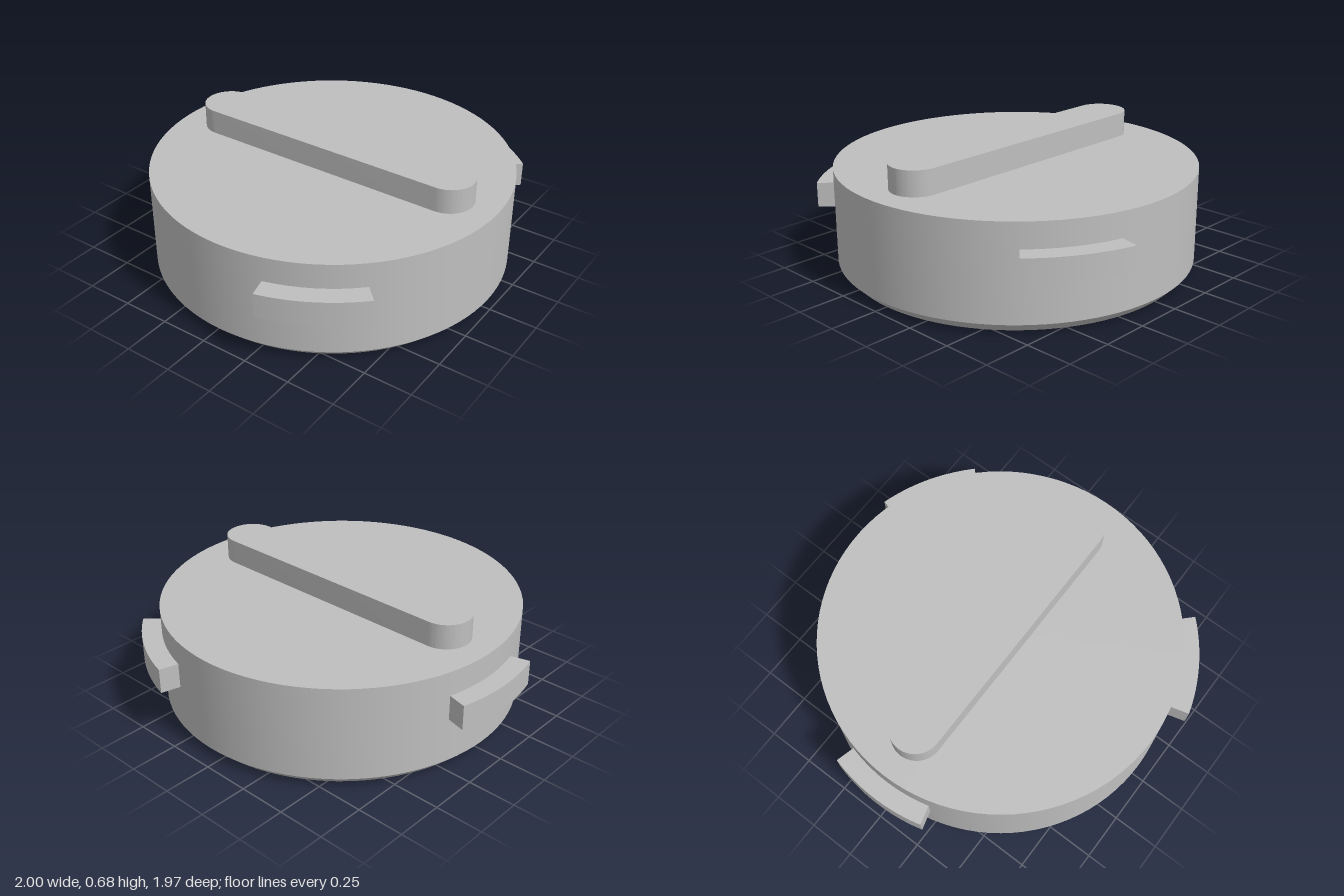
import * as THREE from 'three';
import { toCreasedNormals } from 'three/addons/utils/BufferGeometryUtils.js';

const CREASE = Math.PI / 6;
const CENTER_Z = 0.0475;
const BODY_R = 0.933;
const BODY_TOP = 0.545;

export function createModel() {
  const model = new THREE.Group();
  model.name = 'bayonetCap';
  const grey = new THREE.MeshStandardMaterial({ color: 0xbfbfbf });
  grey.name = 'plainGrey';

  const add = (name, geometry) => {
    const mesh = new THREE.Mesh(toCreasedNormals(geometry, CREASE), grey);
    mesh.name = name;
    mesh.position.z = CENTER_Z;
    model.add(mesh);
    return mesh;
  };

  // Extrudes a plan shape upwards from y = bottom
  const slab = (shape, bottom, height) =>
    new THREE.ExtrudeGeometry(shape, { depth: height, bevelEnabled: false, curveSegments: 24 })
      .rotateX(-Math.PI / 2)
      .translate(0, bottom, 0);

  // Round body with chamfered foot and a recess underneath
  const profile = [
    [0, 0.187], [0.645, 0.187], [0.645, 0], [0.883, 0],
    [BODY_R, 0.05], [BODY_R, BODY_TOP], [0, BODY_TOP],
  ].map(([r, y]) => new THREE.Vector2(r, y));
  add('body', new THREE.LatheGeometry(profile, 96));

  // Round-ended grip bar across the top
  const gripR = 0.132;
  const gripHalf = 0.807 - gripR;
  const grip = new THREE.Shape();
  grip.absarc(0, gripHalf, gripR, 0, Math.PI, false);
  grip.absarc(0, -gripHalf, gripR, Math.PI, Math.PI * 2, false);
  grip.closePath();
  add('gripBar', slab(grip, BODY_TOP, 0.13));

  // Three curved locking tabs, 30 degrees wide each
  const half = Math.PI / 12;
  ['backTab', 'rightTab', 'leftTab'].forEach((name, i) => {
    const mid = Math.PI / 2 + (i * Math.PI * 2) / 3;
    const tab = new THREE.Shape();
    tab.absarc(0, 0, 1.034, mid - half, mid + half, false);
    tab.absarc(0, 0, BODY_R - 0.01, mid + half, mid - half, true);
    tab.closePath();
    add(name, slab(tab, 0.284, 0.131));
  });

  return model;
}
